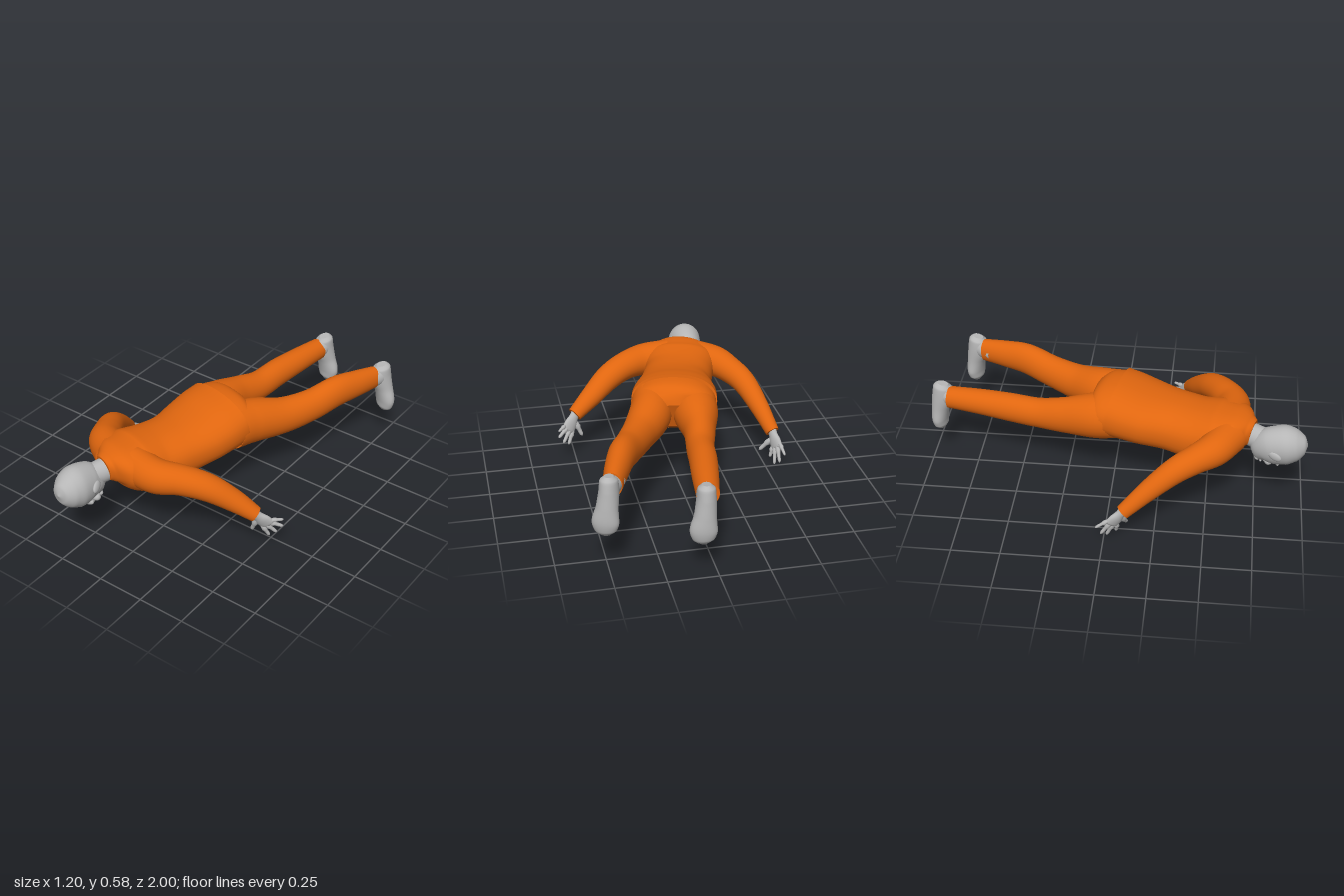
import * as THREE from 'three';

const V = (a) => new THREE.Vector3(a[0], a[1], a[2]);

const orange = new THREE.MeshStandardMaterial({ color: 0xe0660f });
orange.name = 'orange cloth';
const grey = new THREE.MeshStandardMaterial({ color: 0xb6b6b6 });
grey.name = 'pale grey';

// Smooth loft through [x, y, z, halfWidth, halfHeight] sections, capped at both ends
function loft(name, material, sections, { up = [0, 1, 0], n = 28, steps = 6, square = 1 } = {}) {
  const path = new THREE.CatmullRomCurve3(sections.map(V));
  const radii = new THREE.CatmullRomCurve3(sections.map((s) => new THREE.Vector3(s[3], s[4] ?? s[3], 0)));
  const rings = (sections.length - 1) * steps;
  const hint = V(up);
  const pos = [];
  const idx = [];
  const bend = (c) => Math.sign(c) * Math.pow(Math.abs(c), square);
  const ring = (t) => {
    const c = path.getPoint(t);
    const r = radii.getPoint(t);
    const dir = path.getTangent(t);
    const side = hint.clone().cross(dir).normalize();
    const top = dir.clone().cross(side);
    for (let j = 0; j < n; j++) {
      const a = (j / n) * Math.PI * 2;
      const p = c.clone()
        .addScaledVector(side, Math.max(r.x, 0.001) * bend(Math.cos(a)))
        .addScaledVector(top, Math.max(r.y, 0.001) * bend(Math.sin(a)));
      pos.push(p.x, p.y, p.z);
    }
    return c;
  };
  for (let i = 0; i <= rings; i++) ring(i / rings);
  for (let i = 0; i < rings; i++) {
    for (let j = 0; j < n; j++) {
      const a = i * n + j;
      const b = i * n + ((j + 1) % n);
      idx.push(a, b, a + n, b, b + n, a + n);
    }
  }
  // separate cap vertices keep the rims crisp
  for (const t of [0, 1]) {
    const start = pos.length / 3;
    const c = ring(t);
    pos.push(c.x, c.y, c.z);
    for (let j = 0; j < n; j++) {
      const a = start + j;
      const b = start + ((j + 1) % n);
      if (t) idx.push(a, b, start + n);
      else idx.push(b, a, start + n);
    }
  }
  const g = new THREE.BufferGeometry();
  g.setAttribute('position', new THREE.Float32BufferAttribute(pos, 3));
  g.setIndex(idx);
  g.computeVertexNormals();
  const mesh = new THREE.Mesh(g, material);
  mesh.name = name;
  return mesh;
}

function blob(name, position, scale, rotation = [0, 0, 0]) {
  const mesh = new THREE.Mesh(new THREE.SphereGeometry(1, 20, 14), grey);
  mesh.name = name;
  mesh.position.set(...position);
  mesh.scale.set(...scale);
  mesh.rotation.set(...rotation);
  return mesh;
}

// Flat palm with four fingers and a thumb; spread points from thumb side to little finger
function hand(name, wrist, knuckle, spread, thumbTip, tips) {
  const g = new THREE.Group();
  g.name = name;
  const w = V(wrist);
  const k = V(knuckle);
  const dir = k.clone().sub(w).normalize();
  const s = V(spread).addScaledVector(dir, -V(spread).dot(dir)).normalize();
  const up = dir.clone().cross(s).toArray();
  const at = (t, r, h) => [...w.clone().lerp(k, t).toArray(), r, h];
  g.add(loft('palm', grey, [at(-0.35, 0.028, 0.024), at(0.1, 0.027, 0.02), at(0.6, 0.04, 0.018),
    at(1, 0.041, 0.014), at(1.12, 0.025, 0.008)], { up, n: 16, steps: 4 }));
  const digit = (label, base, tip, r) => {
    const p = (t, q) => [...base.clone().lerp(V(tip), t).toArray(), q];
    g.add(loft(label, grey, [p(0, r), p(0.5, r), p(0.88, r * 0.85), p(1, r * 0.25)], { up, n: 10, steps: 3 }));
  };
  tips.forEach((tip, i) => {
    const base = k.clone().addScaledVector(s, (i - 1.5) * 0.02).addScaledVector(dir, -0.012);
    digit('finger', base, tip, i === 3 ? 0.0085 : 0.01);
  });
  digit('thumb', w.clone().lerp(k, 0.35).addScaledVector(s, -0.022), thumbTip, 0.012);
  return g;
}

// Foot hanging toe-down with the sole facing backwards
function foot(name, x, y, z, turn) {
  const g = new THREE.Group();
  g.name = name;
  g.add(loft('shoe', grey, [
    [0, 0.465, -0.005, 0.022, 0.03], [0, 0.445, -0.008, 0.043, 0.05], [0, 0.39, -0.01, 0.048, 0.058],
    [0.005, 0.31, -0.03, 0.054, 0.048], [0.012, 0.24, -0.04, 0.066, 0.042],
    [0.012, 0.195, -0.038, 0.054, 0.035], [0.01, 0.17, -0.036, 0.022, 0.015],
  ], { up: [0, 0, 1] }));
  g.add(loft('ankle', grey, [[-0.015, 0.392, 0.1, 0.04], [0, 0.395, 0.03, 0.047, 0.055],
    [0, 0.4, -0.02, 0.042, 0.05]]));
  g.position.set(x, y, z);
  g.rotation.y = turn;
  return g;
}

function createHead() {
  const g = new THREE.Group();
  g.name = 'head';
  g.add(loft('skull', grey, [
    [-0.238, 0.41, 1.0, 0.004, 0.004], [-0.238, 0.41, 0.985, 0.044, 0.05],
    [-0.236, 0.407, 0.945, 0.078, 0.088], [-0.233, 0.402, 0.885, 0.093, 0.11],
    [-0.227, 0.388, 0.82, 0.086, 0.106], [-0.217, 0.367, 0.78, 0.072, 0.088],
    [-0.208, 0.338, 0.752, 0.05, 0.053], [-0.203, 0.325, 0.738, 0.024, 0.025],
  ], { up: [0.18, -0.98, 0], n: 32 }));
  g.add(loft('neck', grey, [[-0.18, 0.435, 0.64, 0.075, 0.07], [-0.183, 0.425, 0.7, 0.057, 0.063],
    [-0.205, 0.415, 0.76, 0.056, 0.063], [-0.22, 0.4, 0.83, 0.06, 0.07]]));
  // ears
  for (const [x, y] of [[-0.136, 0.412], [-0.317, 0.385]]) {
    g.add(blob('ear', [x, y, 0.835], [0.011, 0.023, 0.036], [0.35, x > -0.2 ? 0.3 : -0.3, 0.18]));
  }
  // face
  g.add(blob('nose', [-0.204, 0.28, 0.805], [0.014, 0.02, 0.026], [0.3, 0, 0.18]));
  g.add(blob('lips', [-0.203, 0.288, 0.769], [0.024, 0.01, 0.009], [0, 0, 0.18]));
  g.add(blob('chin', [-0.201, 0.297, 0.752], [0.024, 0.018, 0.016]));
  for (const s of [-1, 1]) {
    g.add(blob('brow', [-0.209 + s * 0.035, 0.309 + s * 0.007, 0.858], [0.028, 0.017, 0.011], [0, s * 0.15, 0.18]));
    g.add(blob('cheek', [-0.207 + s * 0.036, 0.312 + s * 0.007, 0.808], [0.026, 0.022, 0.022]));
  }
  return g;
}

export function createModel() {
  const model = new THREE.Group();
  model.name = 'prone figure';

  // shirt body, from hem to collar
  model.add(loft('shirt', orange, [
    [0.008, 0.445, 0.01, 0.226, 0.146], [-0.008, 0.435, 0.08, 0.226, 0.141], [-0.03, 0.415, 0.18, 0.216, 0.135],
    [-0.065, 0.395, 0.33, 0.188, 0.134], [-0.11, 0.39, 0.46, 0.188, 0.14],
    [-0.14, 0.412, 0.57, 0.2, 0.132], [-0.163, 0.437, 0.655, 0.165, 0.098],
    [-0.178, 0.435, 0.7, 0.09, 0.074], [-0.185, 0.432, 0.722, 0.062, 0.064],
  ], { n: 40, square: 0.88 }));

  // sleeves
  model.add(loft('leftSleeve', orange, [
    [-0.08, 0.435, 0.61, 0.095, 0.1], [0.06, 0.43, 0.615, 0.088, 0.09], [0.17, 0.425, 0.565, 0.078, 0.077],
    [0.28, 0.39, 0.5, 0.072, 0.07], [0.39, 0.315, 0.43, 0.059, 0.057], [0.49, 0.24, 0.378, 0.042, 0.04],
  ]));
  model.add(loft('rightSleeve', orange, [
    [-0.22, 0.43, 0.6, 0.1, 0.095], [-0.335, 0.42, 0.53, 0.088, 0.086], [-0.4, 0.4, 0.44, 0.074, 0.073],
    [-0.455, 0.365, 0.345, 0.065, 0.066], [-0.51, 0.275, 0.22, 0.052, 0.054], [-0.56, 0.165, 0.095, 0.037, 0.039],
  ]));

  // trousers
  model.add(loft('pelvis', orange, [
    [0, 0.44, 0.05, 0.22, 0.136], [0.012, 0.435, -0.01, 0.22, 0.138],
    [0.025, 0.42, -0.06, 0.19, 0.115], [0.03, 0.41, -0.09, 0.11, 0.075],
  ], { n: 40, square: 0.9 }));
  model.add(loft('rightTrouserLeg', orange, [
    [-0.1, 0.43, 0.05, 0.11, 0.12], [-0.088, 0.415, -0.07, 0.118, 0.122], [-0.07, 0.39, -0.25, 0.082, 0.1],
    [-0.04, 0.375, -0.4, 0.071, 0.082], [-0.02, 0.385, -0.55, 0.07, 0.078],
    [0.005, 0.39, -0.7, 0.066, 0.07], [0.036, 0.39, -0.89, 0.056, 0.06],
  ]));
  model.add(loft('leftTrouserLeg', orange, [
    [0.115, 0.43, 0.06, 0.11, 0.122], [0.15, 0.415, -0.06, 0.11, 0.12], [0.24, 0.393, -0.22, 0.086, 0.101],
    [0.32, 0.405, -0.38, 0.074, 0.09], [0.378, 0.435, -0.52, 0.068, 0.089],
    [0.424, 0.432, -0.65, 0.06, 0.077], [0.465, 0.425, -0.775, 0.048, 0.064],
  ]));

  model.add(foot('rightFoot', 0.05, 0, -0.92, -0.2));
  model.add(foot('leftFoot', 0.485, 0.033, -0.81, -0.41));

  model.add(hand('leftHand', [0.49, 0.238, 0.378], [0.535, 0.172, 0.335], [0.13, 0.08, -0.06],
    [0.455, 0.115, 0.36], [[0.537, 0.088, 0.32], [0.567, 0.11, 0.3], [0.594, 0.152, 0.285], [0.592, 0.192, 0.282]]));
  model.add(hand('rightHand', [-0.56, 0.162, 0.09], [-0.572, 0.098, 0.04], [-0.08, 0.04, -0.14],
    [-0.492, 0.052, 0.11], [[-0.54, 0.028, 0.06], [-0.553, 0.006, 0.012], [-0.575, 0.028, -0.015], [-0.596, 0.083, -0.04]]));

  model.add(createHead());
  return model;
}
